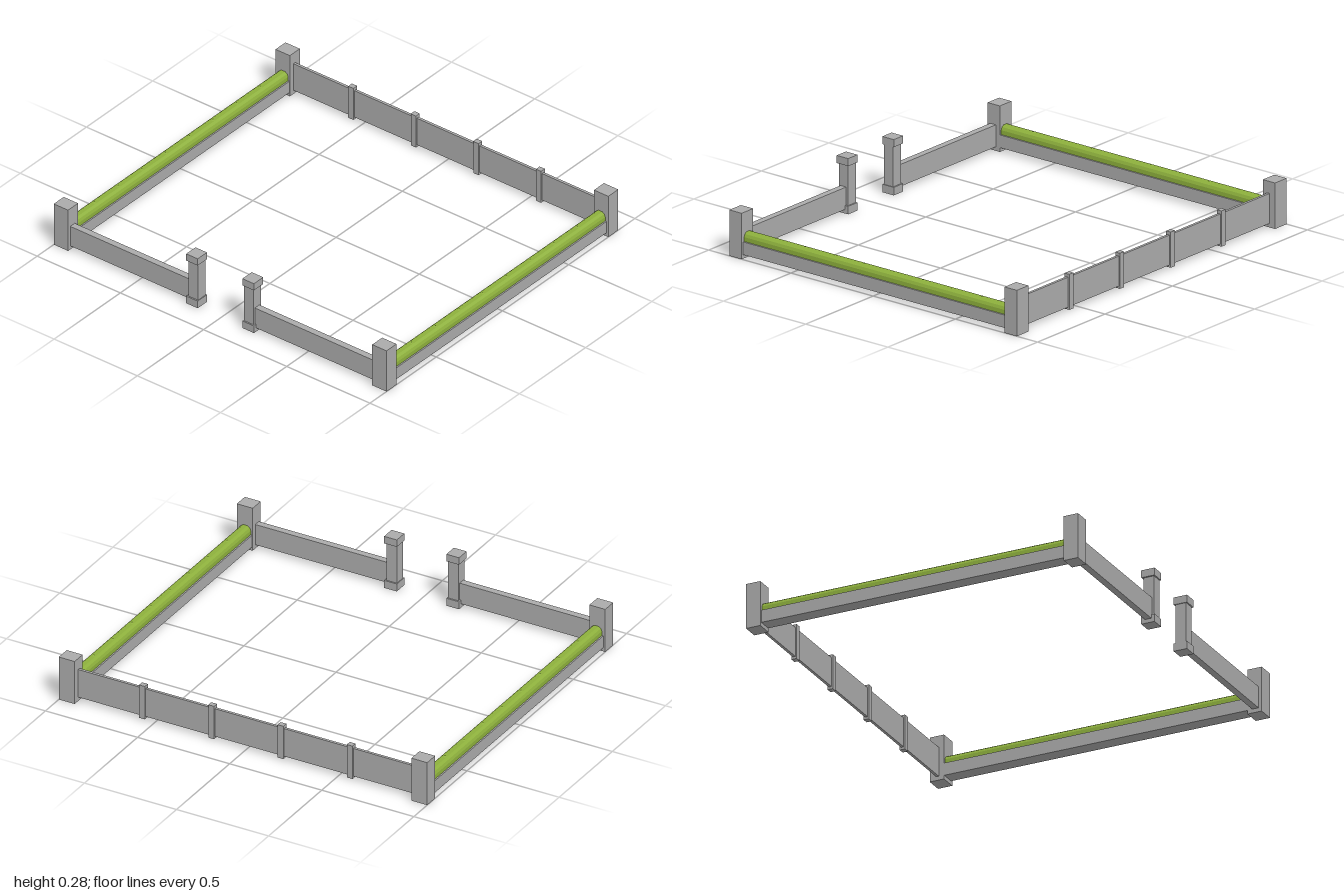
import * as THREE from 'three';

const stone = new THREE.MeshStandardMaterial({ color: 0xaaaaaa });
stone.name = 'grey stone';
const leaf = new THREE.MeshStandardMaterial({ color: 0x8db03c });
leaf.name = 'hedge green';

// Box centred on x and z, spanning y0 to y1
function block(parent, name, x, z, y0, y1, w, d) {
  const mesh = new THREE.Mesh(new THREE.BoxGeometry(w, y1 - y0, d), stone);
  mesh.position.set(x, (y0 + y1) / 2, z);
  mesh.name = name;
  parent.add(mesh);
}

// Clipped hedge: faceted cross-section run along x, with small sprigs on top
function hedge(parent, z, length) {
  const group = new THREE.Group();
  group.name = 'hedge';
  group.position.z = z;
  const half = [[0.029, 0.083], [0.029, 0.106], [0.023, 0.12], [0.011, 0.128]];
  const points = [...half, ...half.map(([a, y]) => [-a, y]).reverse()];
  const shape = new THREE.Shape(points.map(([a, y]) => new THREE.Vector2(a, y)));
  const geometry = new THREE.ExtrudeGeometry(shape, { depth: length, bevelEnabled: false });
  geometry.translate(0, 0, -length / 2).rotateY(Math.PI / 2);
  const body = new THREE.Mesh(geometry, leaf);
  body.name = 'hedgeBody';
  group.add(body);
  for (let i = 0; i < 8; i++) {
    const sprig = new THREE.Mesh(new THREE.ConeGeometry(0.012, 0.005, 6), leaf);
    sprig.name = 'hedgeSprig';
    sprig.position.set((i - 3.5) * 0.179, 0.1302, 0);
    group.add(sprig);
  }
  parent.add(group);
}

export function createModel() {
  const model = new THREE.Group();
  model.name = 'courtyardWalls';

  for (const s of [1, -1]) {
    // Corner posts
    for (const x of [-0.837, 0.837]) block(model, 'cornerPost', x, s * 0.957, 0, 0.23, 0.075, 0.086);

    // Low planter wall with its hedge
    block(model, 'planterWall', 0, s * 0.953, 0.02, 0.084, 1.61, 0.073);
    hedge(model, s * 0.953, 1.604);

    // Wall leading to the gateway
    block(model, 'gateWall', -0.841, s * 0.555, 0.02, 0.13, 0.034, 0.73);

    // Gate post with base and cap
    const gate = new THREE.Group();
    gate.name = 'gatePost';
    block(gate, 'gateBase', -0.84, s * 0.169, 0, 0.04, 0.07, 0.069);
    block(gate, 'gateShaft', -0.84, s * 0.167, 0.04, 0.241, 0.056, 0.057);
    block(gate, 'gateCap', -0.84, s * 0.169, 0.241, 0.279, 0.07, 0.069);
    model.add(gate);

    // Slim posts along the panel fence
    for (const z of [0.188, 0.564]) block(model, 'fencePost', 0.834, s * z, 0.008, 0.186, 0.028, 0.031);
  }

  // Thin panel fence
  block(model, 'fencePanel', 0.834, 0, 0.02, 0.17, 0.014, 1.84);

  return model;
}
